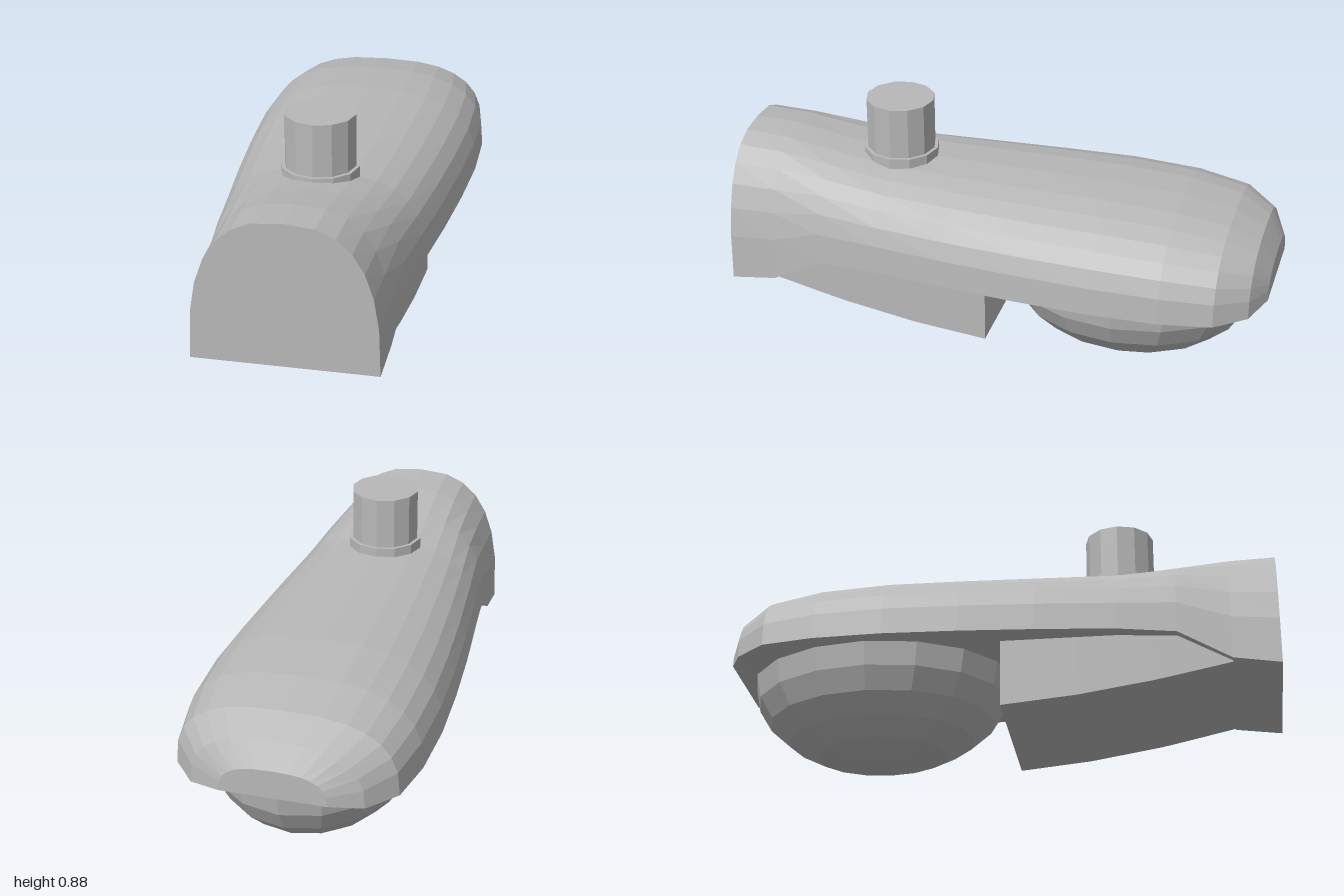
import * as THREE from 'three';

// Skin a list of closed rings (counter-clockwise seen from +z, ordered front to back) and cap both ends
function loft(rings) {
  const n = rings[0].length, last = rings.length - 1;
  const index = [];
  for (let i = 0; i < last; i++) {
    for (let j = 0; j < n; j++) {
      const k = (j + 1) % n;
      const a = i * n + j, b = i * n + k, c = a + n, d = b + n;
      index.push(a, c, b, b, c, d);
    }
  }
  for (let j = 1; j < n - 1; j++) {
    index.push(0, j, j + 1);
    index.push(last * n, last * n + j + 1, last * n + j);
  }
  const geo = new THREE.BufferGeometry();
  geo.setAttribute('position', new THREE.Float32BufferAttribute(rings.flat(2), 3));
  geo.setIndex(index);
  const flat = geo.toNonIndexed();
  flat.computeVertexNormals();
  return flat;
}

// Domed cross-section: flat base, superellipse arch
function archRing([z, w, base, top]) {
  const ring = [], segments = 14, power = 2 / 2.7;
  for (let j = 0; j <= segments; j++) {
    const t = (j / segments) * Math.PI, c = Math.cos(t);
    ring.push([
      Math.sign(c) * w * Math.abs(c) ** power,
      base + (top - base) * Math.abs(Math.sin(t)) ** power,
      z,
    ]);
  }
  return ring;
}

export function createModel() {
  const model = new THREE.Group();
  model.name = 'streetLampHead';
  const grey = new THREE.MeshStandardMaterial({ color: 0xb8b8b8, flatShading: true });
  grey.name = 'grey';

  const add = (name, geometry, x = 0, y = 0, z = 0) => {
    const mesh = new THREE.Mesh(geometry, grey);
    mesh.name = name;
    mesh.position.set(x, y, z);
    model.add(mesh);
    return mesh;
  };

  // Housing sections: z, half width, base height, top height
  add('housing', loft([
    [1, 0.325, 0.195, 0.722],
    [0.83, 0.33, 0.22, 0.713],
    [0.64, 0.345, 0.325, 0.682],
    [0.42, 0.37, 0.338, 0.655],
    [0.14, 0.4, 0.338, 0.65],
    [-0.13, 0.422, 0.338, 0.648],
    [-0.4, 0.435, 0.338, 0.646],
    [-0.65, 0.428, 0.338, 0.632],
    [-0.84, 0.395, 0.338, 0.6],
    [-0.95, 0.305, 0.338, 0.545],
    [-1, 0.19, 0.355, 0.46],
  ].map(archRing)));

  // Gear box under the neck: z, half width, bottom height, top height
  add('gearBox', loft([
    [0.83, 0.305, 0.215, 0.25],
    [0.64, 0.31, 0.175, 0.36],
    [0.55, 0.312, 0.157, 0.36],
    [0.28, 0.316, 0.115, 0.36],
    [0.01, 0.318, 0.09, 0.36],
  ].map(([z, w, low, high]) => [[w, low, z], [w, high, z], [-w, high, z], [-w, low, z]])));

  // Half-ellipsoid lamp bowl
  const bowl = new THREE.SphereGeometry(1, 16, 6, 0, Math.PI * 2, Math.PI / 2, Math.PI / 2);
  bowl.scale(0.382, 0.338, 0.485);
  add('lampBowl', bowl, 0, 0.338, -0.47);

  // Sensor on top with its collar
  add('sensorCollar', new THREE.CylinderGeometry(0.14, 0.14, 0.075, 12), 0, 0.6475, 0.425);
  add('sensor', new THREE.CylinderGeometry(0.127, 0.127, 0.248, 12), 0, 0.754, 0.425);

  return model;
}
